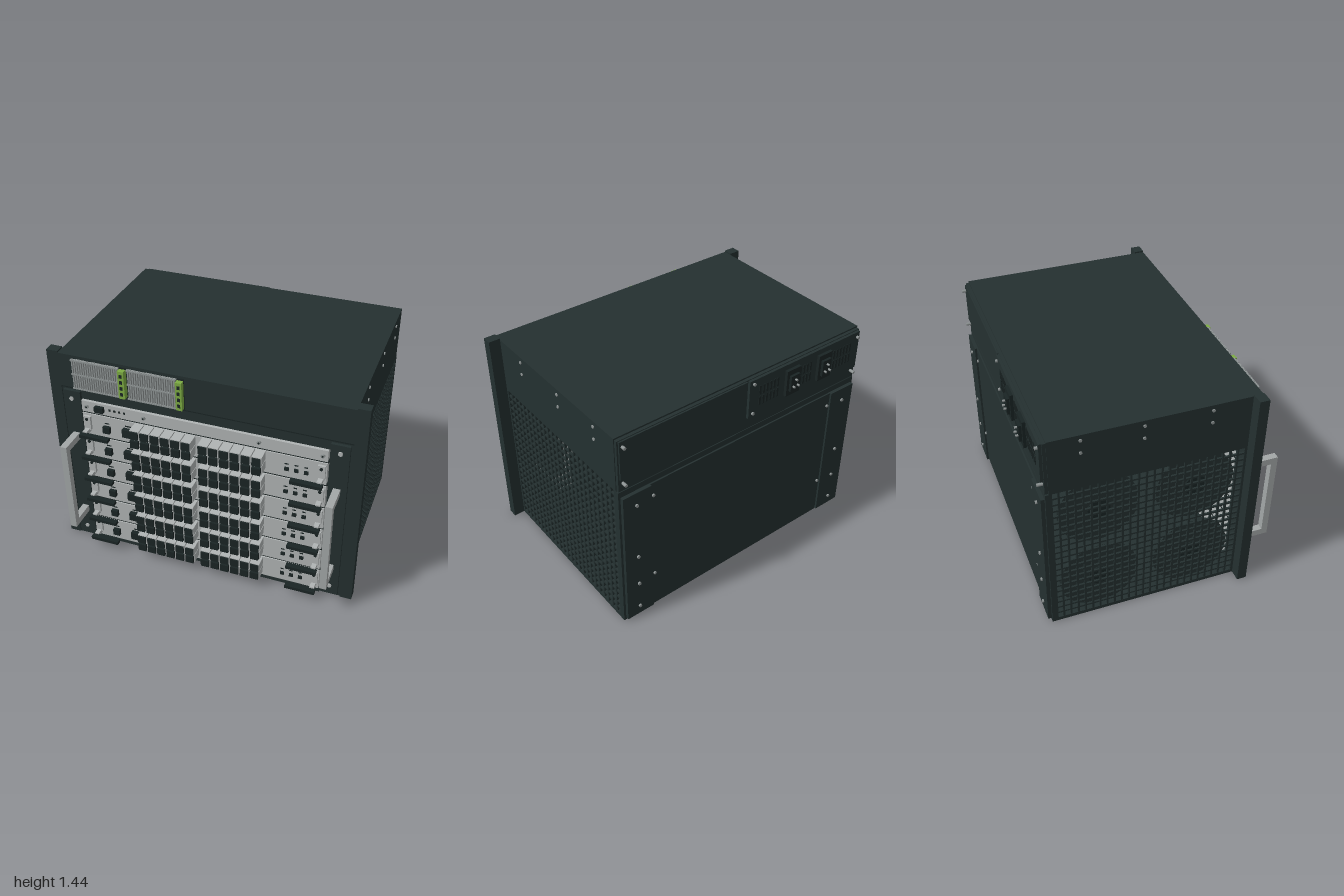
import * as THREE from 'three';
import { mergeGeometries } from 'three/addons/utils/BufferGeometryUtils.js';

const paint = (name, color) => {
  const m = new THREE.MeshStandardMaterial({ color });
  m.name = name;
  return m;
};

// box given by its limits: x0, x1, y0, y1, z0, z1
const box = (x0, x1, y0, y1, z0, z1) =>
  new THREE.BoxGeometry(x1 - x0, y1 - y0, z1 - z0).translate((x0 + x1) / 2, (y0 + y1) / 2, (z0 + z1) / 2);
// disc or rod centred at a point, along x or z
const rod = (axis, r, len, x, y, z, sides = 12) => {
  const g = new THREE.CylinderGeometry(r, r, len, sides);
  if (axis === 'x') g.rotateZ(Math.PI / 2); else g.rotateX(Math.PI / 2);
  return g.translate(x, y, z);
};

export function createModel() {
  const model = new THREE.Group();
  model.name = 'rackChassis';
  const dark = paint('dark case', 0x243030);
  const black = paint('black plastic', 0x1a2424);
  const grey = paint('card grey', 0xb0b4b4);
  const handleGrey = paint('handle grey', 0xa3a7a7);
  const steel = paint('screw steel', 0x8e9494);
  const green = paint('latch green', 0x7cab43);

  const add = (name, mat, geos) => {
    const mesh = new THREE.Mesh(mergeGeometries(geos), mat);
    mesh.name = name;
    model.add(mesh);
  };
  const both = [-1, 1];
  // box mirrored on both sides; x0 < x1 on the left side
  const pair = (x0, x1, ...r) => [box(x0, x1, ...r), box(-x1, -x0, ...r)];

  // case
  add('upperCase', dark, [box(-0.925, 0.925, 1.06, 1.43, -0.69, 0.54)]);
  add('basePlate', dark, [box(-0.925, 0.925, 0, 0.025, -0.69, 0.54)]);
  add('rackFlange', dark, pair(0.925, 1, 0, 1.44, 0.525, 0.588));
  add('cornerPost', dark, [...pair(0.9, 0.925, 0, 1.06, 0.51, 0.54), ...pair(0.9, 0.925, 0, 1.06, -0.69, -0.67)]);

  // open side mesh
  const wires = [];
  for (let i = 0; i < 26; i++) {
    const z = -0.68 + i * 0.0478;
    wires.push(...pair(0.91, 0.924, 0.02, 1.06, z - 0.006, z + 0.006));
  }
  for (let i = 1; i < 22; i++) {
    const y = 0.02 + i * 0.0475;
    wires.push(...pair(0.911, 0.923, y - 0.006, y + 0.006, -0.68, 0.52));
  }
  add('sideMesh', dark, wires);

  // fans behind the mesh
  const fans = [], hubs = [];
  for (const s of both) for (const z of [0.215, -0.39]) for (const y of [0.285, 0.84]) {
    fans.push(rod('x', 0.25, 0.02, s * 0.885, y, z, 48));
    hubs.push(rod('x', 0.07, 0.008, s * 0.899, y, z, 24));
  }
  add('fan', dark, fans);
  add('fanHub', black, hubs);

  // front frame
  add('topFrontPanel', dark, [box(-0.925, 0.94, 1.2, 1.43, 0.54, 0.588)]);
  add('panelSeam', black, [box(-0.925, 0.94, 1.19, 1.2, 0.54, 0.585)]);
  add('labelStrip', dark, [box(-0.925, 0.925, 1.125, 1.19, 0.53, 0.58)]);
  add('frontSideStrip', dark, [...pair(0.79, 0.925, 0, 1.125, 0.53, 0.58), ...pair(0.795, 0.91, 0.02, 1.18, 0.58, 0.6)]);
  add('bottomLip', dark, [box(-0.79, 0.79, 0, 0.035, 0.53, 0.59)]);

  // two power units with slatted grilles and latches
  const slats = [], holes = [], latches = [], trays = [];
  for (const x of [-0.83, -0.46]) {
    trays.push(box(x, x + 0.36, 1.205, 1.415, 0.588, 0.596));
    for (let i = 0; i < 21; i++) slats.push(box(x + 0.007 + i * 0.0148, x + 0.015 + i * 0.0148, 1.21, 1.415, 0.596, 0.612));
    for (const y of [1.208, 1.308, 1.405]) slats.push(box(x, x + 0.318, y, y + 0.008, 0.596, 0.613));
    latches.push(box(x + 0.32, x + 0.36, 1.215, 1.405, 0.59, 0.628));
    for (let i = 0; i < 4; i++) holes.push(box(x + 0.331, x + 0.349, 1.235 + i * 0.042, 1.258 + i * 0.042, 0.626, 0.63));
  }
  add('powerUnitTray', black, trays);
  add('powerUnitGrille', steel, slats);
  add('powerUnitLatch', green, latches);
  add('latchHole', black, holes);

  // carrying handles
  add('handle', handleGrey, [
    ...pair(0.828, 0.872, 0.225, 0.87, 0.738, 0.78),
    ...pair(0.828, 0.872, 0.225, 0.27, 0.6, 0.738),
    ...pair(0.828, 0.872, 0.825, 0.87, 0.6, 0.738),
  ]);

  // status strip above the cards
  add('statusStrip', grey, [box(-0.79, 0.785, 1.047, 1.125, 0.53, 0.6)]);
  add('statusPort', black, [box(-0.695, -0.635, 1.07, 1.108, 0.6, 0.625),
    ...[0, 1, 2, 3].map(i => box(-0.605 + i * 0.033, -0.592 + i * 0.033, 1.085, 1.098, 0.6, 0.604))]);
  add('frontScrew', steel, [-0.755, -0.37, 0.37, 0.755].map(x => rod('z', 0.013, 0.012, x, 1.087, 0.604)));
  add('frontScrewSlot', black, [-0.755, -0.37, 0.37, 0.755].map(x => rod('z', 0.006, 0.004, x, 1.087, 0.611)));
  add('rackScrew', grey, both.flatMap(s => [0.09, 1.125].map(y => rod('z', 0.014, 0.01, s * 0.855, y, 0.604))));

  // six plug-in cards
  const plates = [], gaps = [], shells = [], sockets = [], tabs = [], levers = [], small = [], tabScrews = [];
  for (let c = 0; c < 6; c++) {
    const y = 0.037 + c * 0.1685;
    plates.push(box(-0.79, 0.785, y, y + 0.155, 0.53, 0.6));
    gaps.push(box(-0.79, 0.79, y + 0.155, y + 0.1685, 0.53, 0.592));
    // port blocks, two rows in two groups
    for (const x0 of [-0.435, 0.01]) {
      for (let i = 0; i < 6; i++) for (const r of [0, 1]) {
        const x = x0 + i * 0.0675, py = y + 0.03 + r * 0.066;
        shells.push(box(x + 0.002, x + 0.064, py, py + 0.06, 0.6, r ? 0.682 : 0.675));
        sockets.push(box(x + 0.006, x + 0.06, py + 0.003, py + 0.055, 0.66, 0.692));
      }
    }
    // ejectors
    tabs.push(...pair(0.732, 0.778, y + 0.045, y + 0.142, 0.6, 0.618), ...pair(0.74, 0.77, y + 0.03, y + 0.055, 0.6, 0.66));
    levers.push(...pair(0.585, 0.78, y + 0.024, y + 0.046, 0.655, 0.692));
    for (const s of both) tabScrews.push(rod('z', 0.01, 0.006, s * 0.755, y + 0.122, 0.62));
    // small connectors
    small.push(
      box(-0.648, -0.602, y + 0.045, y + 0.09, 0.6, 0.625),
      box(-0.512, -0.445, y + 0.05, y + 0.105, 0.6, 0.63),
      box(-0.64, -0.61, y + 0.104, y + 0.111, 0.6, 0.603),
      box(-0.5, -0.46, y + 0.115, y + 0.122, 0.6, 0.603));
    for (const x of [0.53, 0.59, 0.65]) small.push(
      box(x, x + 0.026, y + 0.05, y + 0.072, 0.6, 0.61),
      box(x, x + 0.022, y + 0.092, y + 0.099, 0.6, 0.603));
  }
  add('cardPlate', grey, plates);
  add('cardGap', black, gaps);
  add('portShell', grey, shells);
  add('portOpening', black, sockets);
  add('ejectorTab', grey, tabs);
  add('ejectorLever', black, levers);
  add('ejectorScrew', black, tabScrews);
  add('cardConnector', black, small);

  // rear panels
  add('rearWall', dark, [box(-0.925, 0.925, 0, 1.06, -0.71, -0.69), box(-0.92, 0.92, 1.065, 1.42, -0.71, -0.69)]);
  add('rearCover', dark, [box(-0.72, 0.72, 0.03, 1.02, -0.72, -0.71)]);
  add('rearSideStrip', dark, pair(0.715, 0.91, 0.02, 1.02, -0.733, -0.71));
  add('rearPowerPlate', dark, [box(-0.91, 0, 1.15, 1.415, -0.728, -0.71)]);
  add('rearTopRail', dark, [box(0.01, 0.91, 1.15, 1.415, -0.72, -0.71)]);

  // rear vents
  const vents = [];
  for (const [x, n] of [[-0.84, 7], [-0.5, 4], [-0.23, 6]])
    for (let i = 0; i < n; i++) for (const y of [1.22, 1.295])
      vents.push(box(x + i * 0.028, x + 0.014 + i * 0.028, y, y + 0.062, -0.731, -0.727));
  add('rearVent', black, vents);

  // power inlets
  const inlets = [], prongs = [];
  for (const x of [-0.6, -0.335]) {
    inlets.push(box(x - 0.055, x + 0.055, 1.2, 1.38, -0.748, -0.728), box(x - 0.035, x + 0.035, 1.235, 1.345, -0.765, -0.748));
    for (const [dx, y] of [[-0.018, 1.27], [0.018, 1.27], [0, 1.315]]) prongs.push(rod('z', 0.007, 0.018, x + dx, y, -0.772, 8));
  }
  add('powerInlet', black, inlets);
  add('inletProng', steel, prongs);

  // case screws
  const screws = [];
  for (const s of both) {
    for (const z of [0.28, -0.13, -0.5]) for (const y of [1.31, 1.395]) screws.push(rod('x', 0.01, 0.01, s * 0.927, y, z, 8));
    for (const y of [0.09, 0.29, 0.52, 0.93]) screws.push(rod('z', 0.011, 0.012, s * 0.82, y, -0.737, 8));
    for (const y of [0.29, 0.93]) screws.push(rod('z', 0.01, 0.012, s * 0.695, y, -0.724, 8));
    for (const y of [1.12, 1.38]) screws.push(rod('z', 0.01, 0.04, s * 0.89, y, -0.725, 8));
  }
  for (const y of [1.18, 1.39]) screws.push(rod('z', 0.01, 0.03, -0.03, y, -0.725, 8));
  add('caseScrew', steel, screws);

  return model;
}
